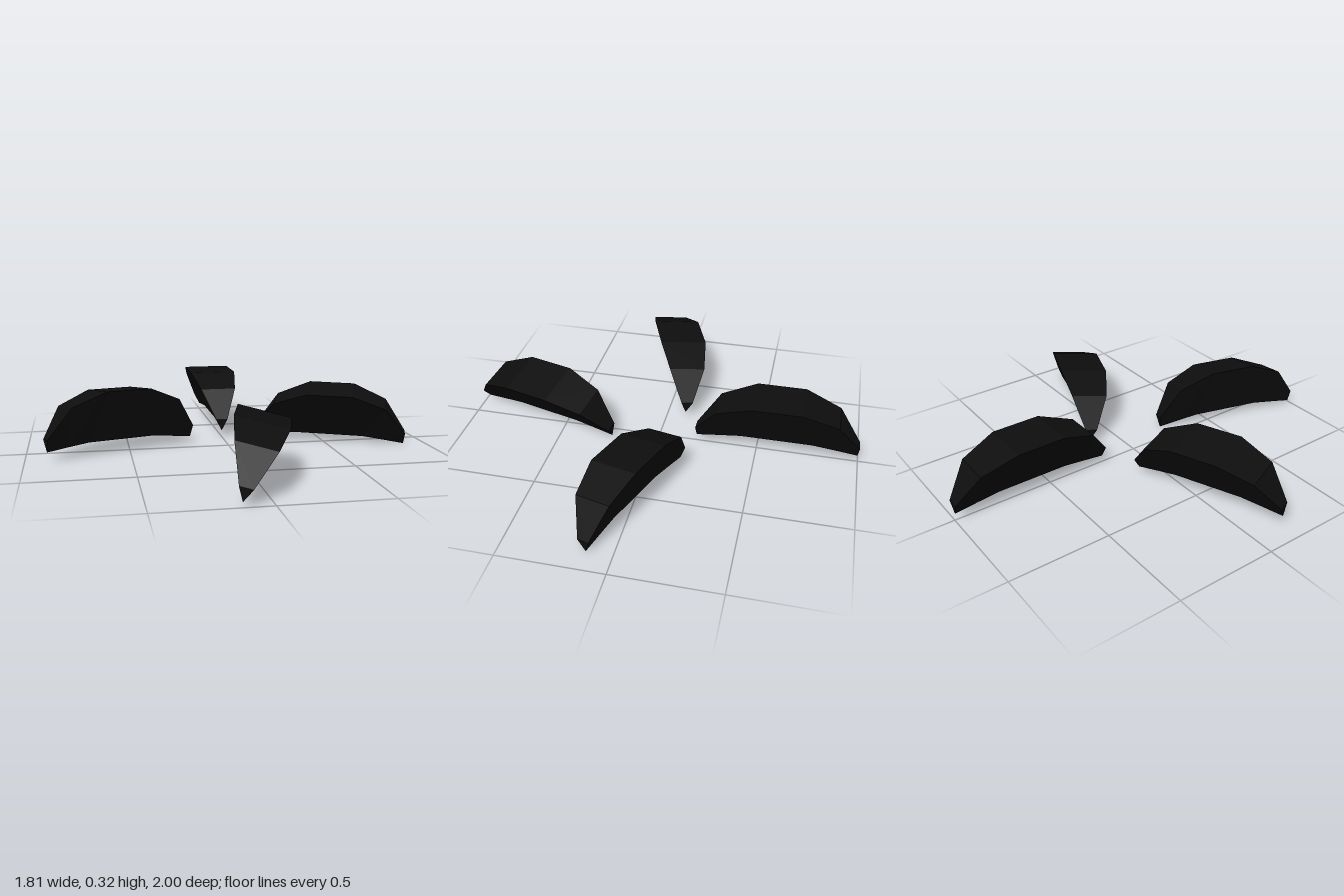
import * as THREE from 'three';

// Half of one wedge, from middle to tip:
// [cap z, half width, cap y, keel z, keel y], heights relative to the tip centre
const HALF = [
  [0.12, 0.122, 0.24, 0.18, -0.005],
  [0.295, 0.092, 0.175, 0.29, -0.017],
  [0.405, 0.03, 0.03, 0.4, -0.03],
];

// Faceted wedge: flat-across arched cap above two sides that meet in a keel
function wedgeGeometry(length) {
  const s = length / 0.81;
  const back = HALF.map(([z, w, y, kz, ky]) => [-z, w, y, -kz, ky]).reverse();
  const rings = [...back, ...HALF].map(([z, w, y, kz, ky]) => [
    [-w, y, z * s],
    [w, y, z * s],
    [0, ky, kz * s],
  ]);
  const pos = [];
  const tri = (a, b, c) => pos.push(...a, ...b, ...c);
  for (let i = 0; i < rings.length - 1; i++) {
    for (let j = 0; j < 3; j++) {
      const k = (j + 1) % 3;
      const a = rings[i][j], b = rings[i + 1][j];
      const c = rings[i + 1][k], d = rings[i][k];
      tri(a, b, c);
      tri(a, c, d);
    }
  }
  // blunt triangular tips
  const [l0, r0, k0] = rings[0];
  const [l1, r1, k1] = rings[rings.length - 1];
  tri(r0, k0, l0);
  tri(l1, k1, r1);
  const g = new THREE.BufferGeometry();
  g.setAttribute('position', new THREE.Float32BufferAttribute(pos, 3));
  g.computeVertexNormals();
  return g;
}

export function createModel() {
  const group = new THREE.Group();
  group.name = 'wedgeCluster';
  const black = new THREE.MeshStandardMaterial({ color: 0x0e0e0e, flatShading: true });
  black.name = 'black';

  // Four wedges pointing outward, each with its own lean
  const wedges = [
    { name: 'backWedge', length: 0.81, at: [0, 0.07, -0.595], yaw: Math.PI, pitch: 0, roll: 0 },
    { name: 'frontWedge', length: 0.79, at: [-0.021, 0.05, 0.609], yaw: -0.266, pitch: -0.005, roll: -0.24 },
    { name: 'rightWedge', length: 0.77, at: [-0.54, 0.075, 0.033], yaw: -1.206, pitch: -0.02, roll: 0.105 },
    { name: 'leftWedge', length: 0.77, at: [0.534, 0.044, -0.009], yaw: 1.207, pitch: 0.023, roll: 0.13 },
  ];
  for (const { name, length, at, yaw, pitch, roll } of wedges) {
    const mesh = new THREE.Mesh(wedgeGeometry(length), black);
    mesh.name = name;
    mesh.position.set(...at);
    mesh.rotation.set(pitch, yaw, roll, 'YXZ');
    group.add(mesh);
  }
  return group;
}
